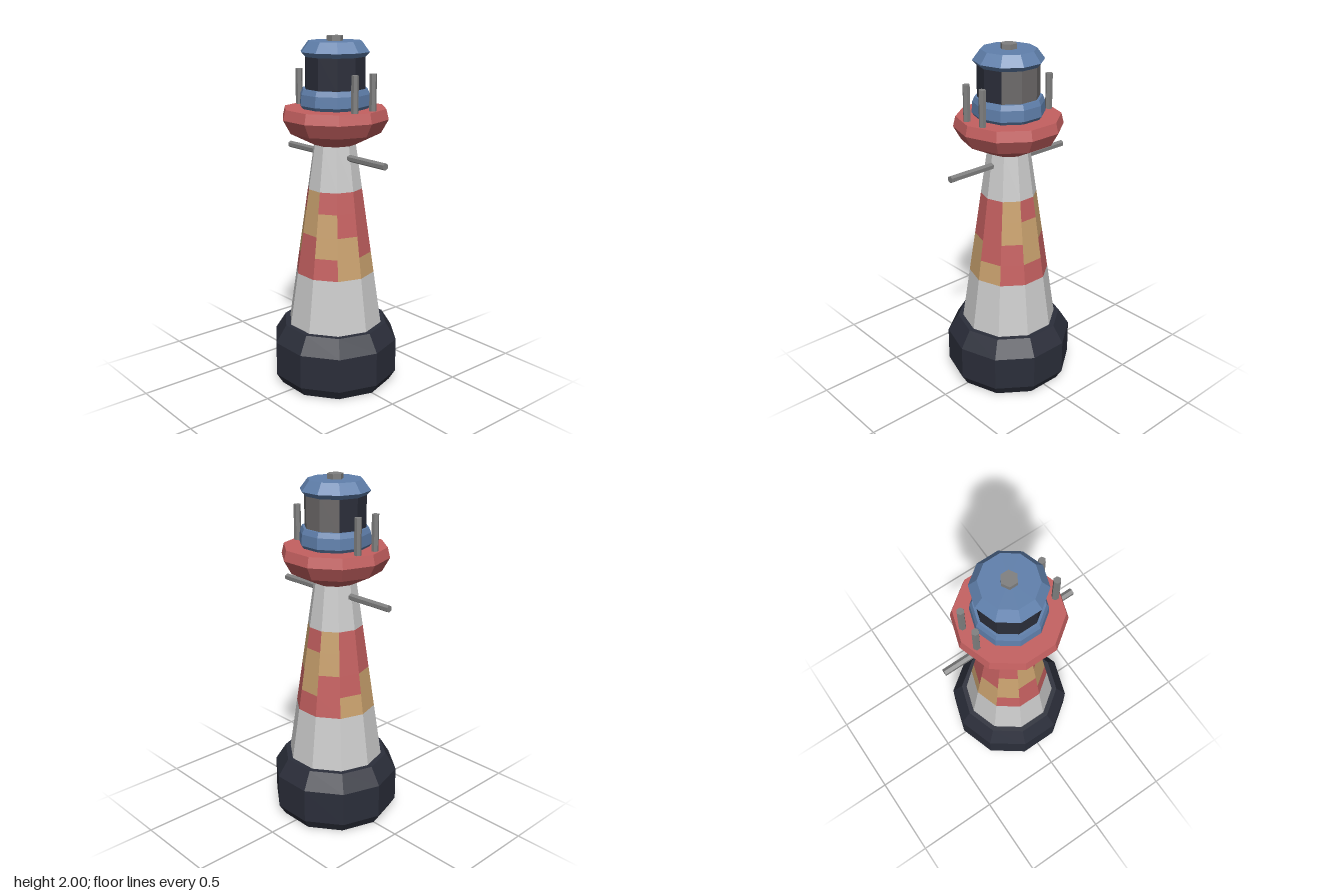
import * as THREE from 'three';

const SIDES = 10;
const STEP = (Math.PI * 2) / SIDES;

const material = (color) => new THREE.MeshStandardMaterial({ color, flatShading: true });
const WHITE = material(0xcccccc);
const RED = material(0xc46060);
const GOLD = material(0xc9a16e);
const BLUE = material(0x6080ac);
const NAVY = material(0x2b2e3a);
const GREY = material(0x808080);
const GLASS = material(0x6c6969);

function add(parent, name, geometry, mat) {
  const mesh = new THREE.Mesh(geometry, mat);
  mesh.name = name;
  parent.add(mesh);
  return mesh;
}

// Ten-sided ring from [radius, height] pairs listed bottom to top
function ring(profile) {
  const points = profile.map(([r, y]) => new THREE.Vector2(r, y));
  return new THREE.LatheGeometry(points, SIDES, Math.PI / 2, Math.PI * 2);
}

// One side of such a ring; sides count from +x round towards +z
function panel(profile, side) {
  const points = profile.map(([r, y]) => new THREE.Vector2(r, y));
  return new THREE.LatheGeometry(points, 1, Math.PI / 2 - (side + 1) * STEP, STEP);
}

// Hexagonal rod standing on the given point
function rod(radius, height) {
  return new THREE.CylinderGeometry(radius, radius, height, 6, 1, false, Math.PI / 2)
    .translate(0, height / 2, 0);
}

export function createModel() {
  const model = new THREE.Group();
  model.name = 'lighthouse';

  // Foundation
  add(model, 'foundation', ring([
    [0, 0], [0.33, 0], [0.367, 0.06], [0.367, 0.26], [0.305, 0.36], [0, 0.36],
  ]), NAVY);

  // Tapered tower, plain below and above the chequered band
  const towerRadius = (y) => 0.275 - ((y - 0.36) / 1.05) * 0.155;
  const at = (y) => [towerRadius(y), y];
  add(model, 'lowerTower', ring([at(0.36), at(0.67)]), WHITE);
  add(model, 'upperTower', ring([at(1.16), at(1.41)]), WHITE);

  // Chequered band: one word per side, letters from top to bottom
  const levels = [1.16, 1.04, 0.91, 0.79, 0.67];
  const pattern = ['RRGG', 'RGGR', 'GGRR', 'RGGR', 'RRGG', 'RRRG', 'GGRR', 'RGGR', 'GGRR', 'RRRG'];
  const band = new THREE.Group();
  band.name = 'chequeredBand';
  model.add(band);
  pattern.forEach((letters, side) => {
    [...letters].forEach((letter, i) => {
      const geometry = panel([at(levels[i + 1]), at(levels[i])], side);
      add(band, 'bandPanel', geometry, letter === 'R' ? RED : GOLD);
    });
  });

  // Gallery
  add(model, 'gallery', ring([
    [0, 1.41], [0.12, 1.41], [0.26, 1.48], [0.302, 1.555], [0.288, 1.612], [0, 1.612],
  ]), RED);

  // Lantern room
  add(model, 'lanternBase', ring([
    [0.185, 1.61], [0.2, 1.63], [0.196, 1.69], [0.184, 1.718], [0, 1.718],
  ]), BLUE);
  const lantern = new THREE.Group();
  lantern.name = 'lantern';
  model.add(lantern);
  for (let side = 0; side < SIDES; side++) {
    const lit = side >= 6 && side <= 8;
    add(lantern, 'lanternPanel', panel([[0.17, 1.71], [0.17, 1.9]], side), lit ? GLASS : NAVY);
  }

  // Roof and cap
  add(model, 'roof', ring([
    [0, 1.89], [0.17, 1.89], [0.193, 1.915], [0.15, 1.972], [0, 1.972],
  ]), BLUE);
  add(model, 'roofCap', rod(0.045, 0.04), GREY).position.y = 1.96;

  // Gallery posts and side spars
  for (const sx of [-1, 1]) {
    for (const sz of [-1, 1]) {
      add(model, 'galleryPost', rod(0.02, 0.21), GREY).position.set(sx * 0.238, 1.6, sz * 0.064);
    }
    const spar = add(model, 'sideSpar', rod(0.02, 0.311), GREY);
    spar.position.set(sx * 0.1, 1.345, 0);
    spar.rotation.z = -sx * Math.PI / 2;
  }
  return model;
}
